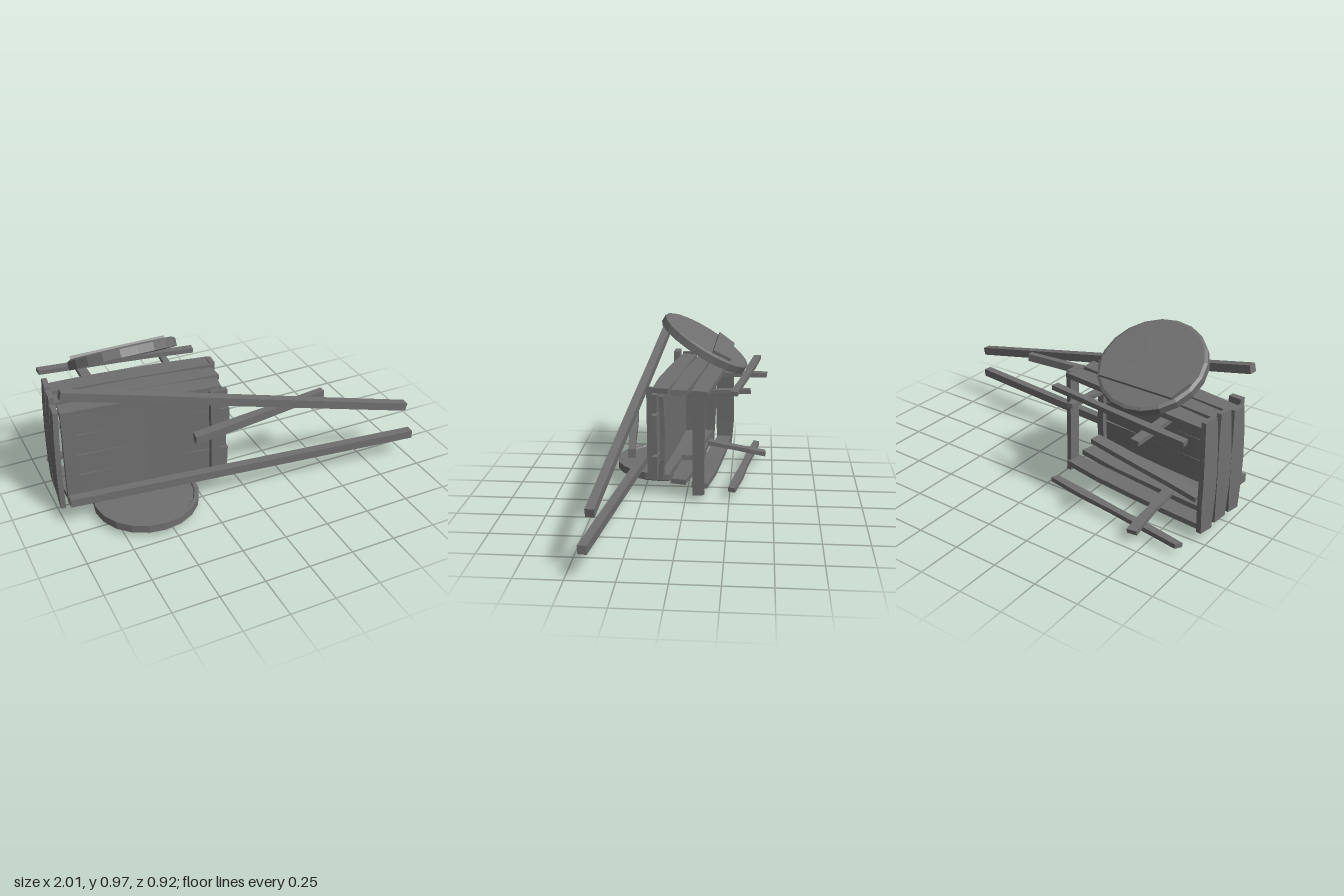
import * as THREE from 'three';

const wood = new THREE.MeshStandardMaterial({ color: 0x6f6f6f });
wood.name = 'weathered wood';
wood.flatShading = true;

// thickness directions; the whole box is turned slightly about y
const UP = [0, 1, 0], FLOOR = [-0.115, 0, 1], END = [1, 0, 0.115];

// small seeded generator for the worn edges
let seed = 7;
const rnd = () => {
  seed = (seed * 16807) % 2147483647;
  return seed / 2147483647 - 0.5;
};

export function createModel() {
  const cart = new THREE.Group();
  cart.name = 'brokenCart';

  // plank from a to b; n is the direction of its thickness, bow bends it along n,
  // bulge widens its middle and taper its far end
  function plank(name, a, b, width, thick, n, { bow = 0, wear = 0.008, taper = 1, bulge = 0 } = {}) {
    const A = new THREE.Vector3(...a), B = new THREE.Vector3(...b);
    const dir = B.clone().sub(A), len = dir.length();
    dir.normalize();
    const side = dir.clone().cross(new THREE.Vector3(...n)).normalize();
    const up = side.clone().cross(dir);
    const segs = 4;
    const geo = new THREE.BoxGeometry(len, thick, width, segs, 1, 1);
    const p = geo.attributes.position;
    const edge = [-1, 1].map(() => Array.from({ length: segs + 1 }, () => rnd() * wear));
    const ends = [rnd() * wear, rnd() * wear, rnd() * wear, rnd() * wear];
    for (let i = 0; i < p.count; i++) {
      const t = p.getX(i) / len + 0.5, k = Math.round(t * segs), s = p.getZ(i) > 0 ? 1 : 0;
      const arch = Math.sin(Math.PI * t);
      p.setZ(i, p.getZ(i) * (1 + (taper - 1) * t + bulge * arch) + edge[s][k]);
      p.setY(i, p.getY(i) + bow * arch);
      if (k === 0) p.setX(i, p.getX(i) + ends[s] * 2);
      if (k === segs) p.setX(i, p.getX(i) + ends[2 + s] * 2);
    }
    geo.computeVertexNormals();
    const mesh = new THREE.Mesh(geo, wood);
    mesh.name = name;
    mesh.quaternion.setFromRotationMatrix(new THREE.Matrix4().makeBasis(dir, up, side));
    mesh.position.copy(A).add(B).multiplyScalar(0.5);
    cart.add(mesh);
  }

  // solid wheel: raised rim on the inner (-y) side, batten on the outer (+y) side
  function wheel(name) {
    const g = new THREE.Group();
    g.name = name;
    const profile = [[0, -0.014], [0.26, -0.014], [0.266, -0.024], [0.288, -0.024],
      [0.288, 0.02], [0.272, 0.029], [0, 0.03]].map(([r, y]) => new THREE.Vector2(r, y));
    const disc = new THREE.Mesh(new THREE.LatheGeometry(profile, 20), wood);
    disc.name = 'wheelDisc';
    // batten with ends following the rim
    const s = new THREE.Shape();
    s.moveTo(-0.262, 0.06).lineTo(0.262, 0.045).lineTo(0.215, 0.165).lineTo(-0.21, 0.17).closePath();
    const batten = new THREE.Mesh(new THREE.ExtrudeGeometry(s, { depth: 0.018, bevelEnabled: false }), wood);
    batten.name = 'wheelBatten';
    batten.rotation.x = -Math.PI / 2;
    batten.position.y = 0.03;
    g.add(disc, batten);
    cart.add(g);
    return g;
  }

  // wheels: one lies flat below, the other leans on top
  const low = wheel('lowerWheel');
  low.position.set(-0.55, 0.05, 0.17);
  low.rotation.z = Math.PI;
  const high = wheel('upperWheel');
  high.position.set(-0.55, 0.81, -0.08);
  high.rotation.x = -0.545;

  // cart floor, standing upright because the cart has tipped over
  [[0.115, 0.25, -0.07], [0.26, 0.375, -0.08], [0.382, 0.5, -0.06], [0.507, 0.615, -0.07]].forEach(([y0, y1, end], i) => {
    const y = (y0 + y1) / 2;
    plank('floorPlank' + (i + 1), [-0.96, y, 0.08], [end, y, 0.18], y1 - y0, 0.03, FLOOR, { bow: -0.006, wear: 0.005, bulge: 0.08 });
  });

  // cross battens over and under the floor
  plank('floorBattenOuterRight', [-0.93, 0.1, 0.118], [-0.93, 0.67, 0.118], 0.07, 0.035, FLOOR);
  plank('floorBattenOuterLeft', [-0.155, 0.09, 0.207], [-0.155, 0.64, 0.21], 0.05, 0.035, FLOOR);
  plank('floorBattenInner', [-0.1, 0.1, 0.145], [-0.1, 0.6, 0.14], 0.04, 0.028, FLOOR, { bow: -0.012 });

  // the two side walls, three planks each
  [[0.15, 0.09, -0.1], [0.04, 0.085, -0.07], [-0.08, 0.09, -0.05]].forEach(([z, w, end], i) => {
    plank('upperSidePlank' + (i + 1), [-0.955, 0.628, z - 0.11], [end, 0.632, z], w, 0.03, UP, { bow: 0.006, bulge: 0.25 });
    const y = 0.116 - i * 0.014;
    plank('lowerSidePlank' + (i + 1), [-0.955, y - 0.008, z - 0.11], [end, y, z], w, 0.03, UP, { bow: -0.006, bulge: 0.25 });
  });

  // end wall boards and the lone post at the open end
  [[-0.19, 0.095, 0.045, 0.68], [-0.07, 0.09, 0.055, 0.67], [0.04, 0.085, 0.06, 0.655]].forEach(([z, w, y0, y1], i) => {
    const x = -0.945 - i * 0.014;
    plank('endBoard' + (i + 1), [x - 0.01, y0, z], [x, y1, z], w, 0.028, END, { bow: -0.008, bulge: 0.25 });
  });
  plank('openEndPost', [-0.048, 0.035, -0.075], [-0.048, 0.655, -0.075], 0.068, 0.028, END, { wear: 0.004 });

  // loose board lying inside the box
  plank('looseBoard', [-0.86, 0.145, -0.08], [-0.14, 0.222, 0], 0.07, 0.028, UP);

  // long handles and the loose stick
  plank('upperHandle', [-0.975, 0.815, 0.182], [0.965, 0.335, 0.37], 0.046, 0.046, UP, { wear: 0.004 });
  plank('lowerHandle', [-0.975, 0.165, 0.185], [0.995, 0.162, 0.405], 0.046, 0.046, UP, { wear: 0.004 });
  plank('looseStick', [-0.32, 0.453, 0.322], [0.49, 0.468, 0.232], 0.048, 0.045, UP, { taper: 0.85 });

  // axle beams reaching back, with a rail resting across each pair
  plank('upperBeamRight', [-0.69, 0.582, 0.1], [-0.69, 0.585, -0.455], 0.052, 0.026, UP);
  plank('upperBeamLeft', [-0.265, 0.583, 0.08], [-0.235, 0.605, -0.355], 0.04, 0.024, UP);
  plank('lowerBeamRight', [-0.69, 0.135, -0.1], [-0.69, 0.07, -0.455], 0.052, 0.026, UP);
  plank('upperRail', [-0.93, 0.635, -0.398], [-0.065, 0.632, -0.268], 0.045, 0.026, UP, { wear: 0.012 });
  plank('lowerRail', [-0.93, 0.056, -0.398], [-0.065, 0.063, -0.268], 0.045, 0.026, UP, { wear: 0.012 });

  return cart;
}
